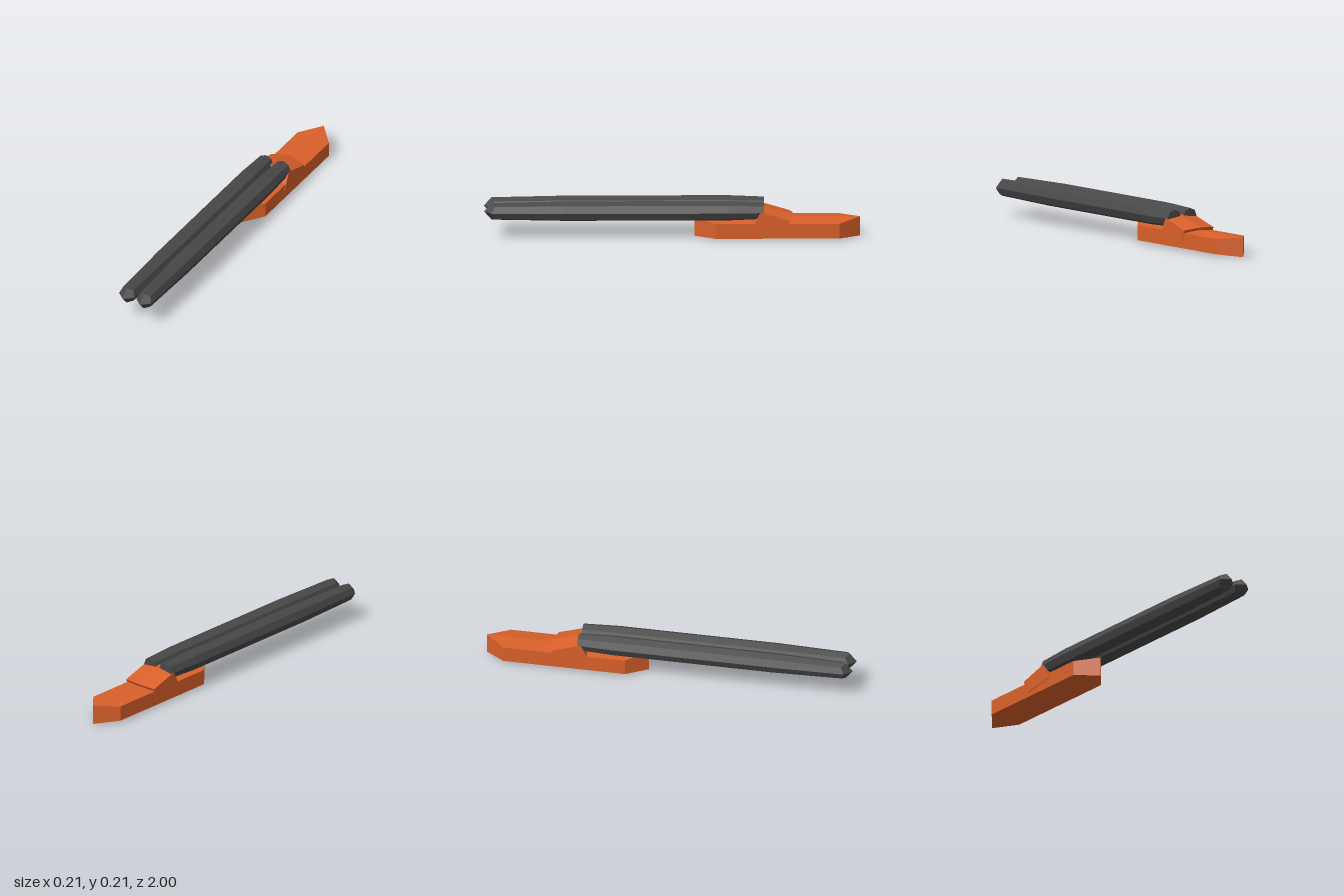
import * as THREE from 'three';

const orange = new THREE.MeshStandardMaterial({ color: 0xd9602a, flatShading: true });
const charcoal = new THREE.MeshStandardMaterial({ color: 0x484848, flatShading: true });

// Skin a list of equal-length rings running from -z to +z, closing both ends.
// Ring points go top -> +x -> bottom -> -x.
function loft(rings, tip) {
  const pos = [];
  const n = rings[0].length;
  const centre = (ring) => [0, 1, 2].map((k) => ring.reduce((s, p) => s + p[k], 0) / n);
  const last = rings.length - 1;
  const back = centre(rings[0]);
  const front = tip || centre(rings[last]);
  for (let j = 0; j < n; j++) {
    const k = (j + 1) % n;
    for (let i = 0; i < last; i++) {
      const a = rings[i][j], b = rings[i][k], c = rings[i + 1][k], d = rings[i + 1][j];
      pos.push(...a, ...d, ...c, ...a, ...c, ...b);
    }
    pos.push(...back, ...rings[0][j], ...rings[0][k]);
    pos.push(...front, ...rings[last][k], ...rings[last][j]);
  }
  const g = new THREE.BufferGeometry();
  g.setAttribute('position', new THREE.Float32BufferAttribute(pos, 3));
  g.computeVertexNormals();
  return g;
}

function part(name, geometry, material) {
  const mesh = new THREE.Mesh(geometry, material);
  mesh.name = name;
  return mesh;
}

// Octagonal bar, slightly swollen in the middle, with a four-faced pointed nose
function barGeometry() {
  const octagon = (z, r, slope = 0) =>
    Array.from({ length: 8 }, (_, j) => {
      const a = (j * Math.PI) / 4;
      const x = r * Math.sin(a), y = r * Math.cos(a);
      return [x, y, z - slope * (Math.abs(x) + Math.abs(y))];
    });
  return loft(
    [octagon(-0.488, 0.046), octagon(-0.3, 0.054), octagon(0.57, 0.054), octagon(1, 0.046, 0.87)],
    [0, 0, 1]
  );
}

// Flat base, pointed at both ends, with a shallow ridge above and below
function baseGeometry() {
  const section = (z, w) => {
    const drop = 0.012 * (w / 0.097);
    const hi = 0.106 - drop, lo = drop;
    return [[0, 0.106, z], [w, hi, z], [w, lo, z], [0, 0, z], [-w, lo, z], [-w, hi, z]];
  };
  return loft([section(-1, 0), section(-0.89, 0.097), section(-0.23, 0.097), section(-0.12, 0)]);
}

// Tilted ridged wedge joining the bars to the base
function mountGeometry() {
  const w = 0.1;
  const section = ([ridgeY, ridgeZ], [edgeY, edgeZ], [lowY, lowZ]) => [
    [0, ridgeY, ridgeZ], [w, edgeY, edgeZ], [w, lowY, lowZ],
    [0, lowY - 0.01, lowZ], [-w, lowY, lowZ], [-w, edgeY, edgeZ],
  ];
  return loft([
    section([0.12, -0.65], [0.11, -0.628], [0.035, -0.6]),
    section([0.172, -0.465], [0.158, -0.47], [0.065, -0.425]),
  ]);
}

export function createModel() {
  const model = new THREE.Group();
  model.name = 'twinBarDevice';
  model.add(part('base', baseGeometry(), orange));
  model.add(part('mount', mountGeometry(), orange));

  // Twin bars side by side
  const bar = barGeometry();
  for (const side of [1, -1]) {
    const mesh = part(side > 0 ? 'leftBar' : 'rightBar', bar, charcoal);
    mesh.position.set(side * 0.053, 0.155, 0);
    model.add(mesh);
  }
  return model;
}
